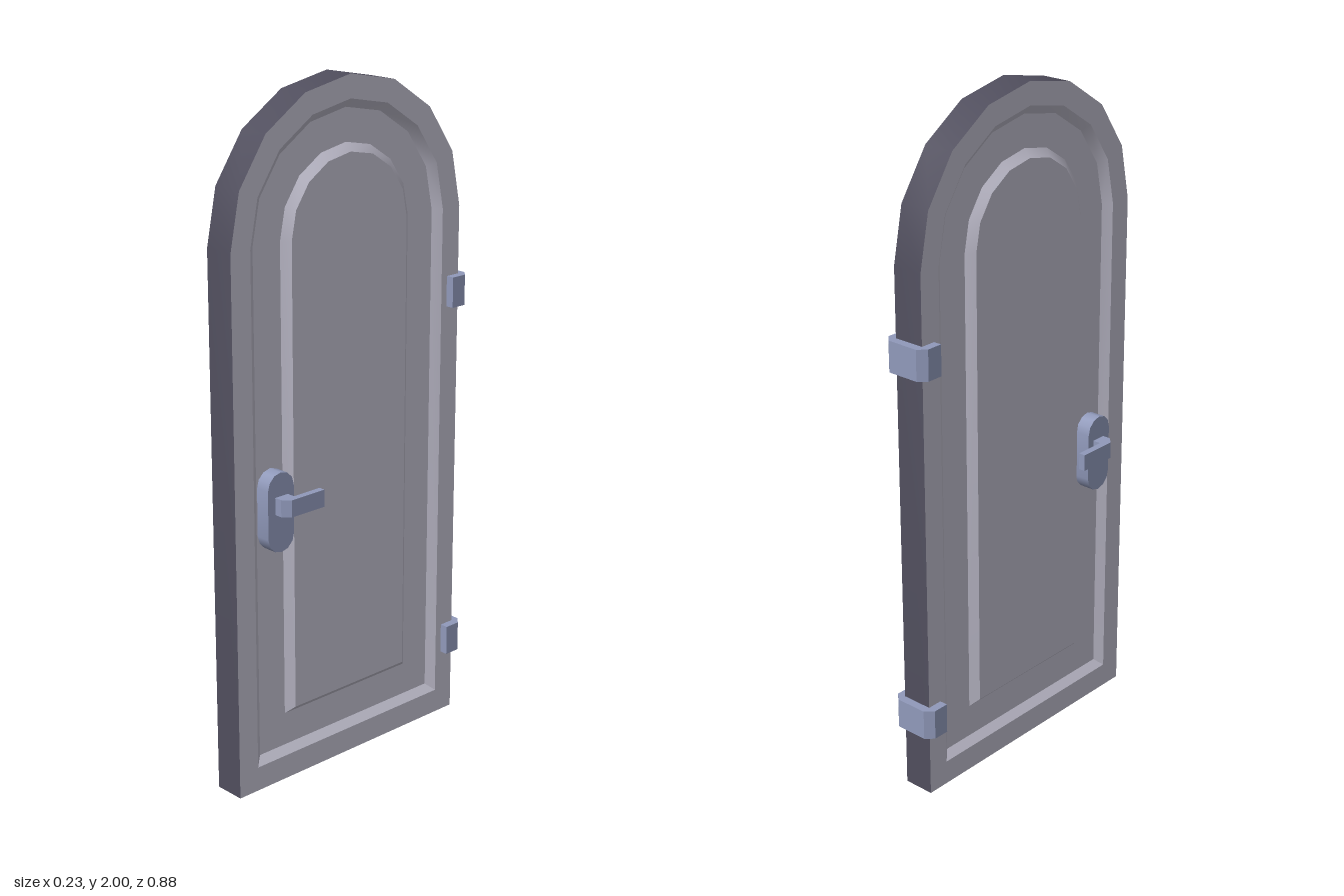
import * as THREE from 'three';
import { toCreasedNormals } from 'three/addons/utils/BufferGeometryUtils.js';

const HALF = 0.047;       // half thickness of the door leaf
const MID_Z = 0.0125;     // centre line of the leaf
const SPRING = 1.58;      // height where the arch starts

// Arched outline: two bottom corners, then the arch in eight segments
function archLoop(x, halfWidth, bottom) {
  const loop = [
    new THREE.Vector3(x, bottom, MID_Z + halfWidth),
    new THREE.Vector3(x, bottom, MID_Z - halfWidth),
  ];
  for (let i = 0; i <= 8; i++) {
    const a = (i / 8) * Math.PI;
    loop.push(new THREE.Vector3(x, SPRING + Math.sin(a) * halfWidth * 0.982, MID_Z - Math.cos(a) * halfWidth));
  }
  return loop;
}

// Skin a list of loops, optionally closing the last one; flip reverses the corners
function skin(loops, cap, flip) {
  const pos = [];
  const tri = (a, b, c) => (flip ? [a, c, b] : [a, b, c]).forEach((p) => pos.push(p.x, p.y, p.z));
  for (let k = 0; k < loops.length - 1; k++) {
    const a = loops[k], b = loops[k + 1], n = a.length;
    for (let i = 0; i < n; i++) {
      const j = (i + 1) % n;
      tri(a[i], a[j], b[j]);
      tri(a[i], b[j], b[i]);
    }
  }
  if (cap) {
    const l = loops[loops.length - 1];
    for (let i = 1; i < l.length - 1; i++) tri(l[0], l[i], l[i + 1]);
  }
  const g = new THREE.BufferGeometry();
  g.setAttribute('position', new THREE.Float32BufferAttribute(pos, 3));
  return toCreasedNormals(g, 0.6);
}

// Extrude a plan outline given as [x, z] pairs upward from y
function plan(points, y, height) {
  const shape = new THREE.Shape(points.map(([x, z]) => new THREE.Vector2(x, -z)));
  return new THREE.ExtrudeGeometry(shape, { depth: height, bevelEnabled: false })
    .rotateX(-Math.PI / 2).translate(0, y, 0);
}

export function createModel() {
  const door = new THREE.Group();
  door.name = 'door';
  const material = (name, color) => {
    const m = new THREE.MeshStandardMaterial({ color });
    m.name = name;
    return m;
  };
  const panelMat = material('pale lilac panel', 0xbbb9c8);
  const edgeMat = material('dark edge', 0x504e5d);
  const metalMat = material('blue grey metal', 0x9099ba);
  const add = (name, geometry, mat) => {
    const mesh = new THREE.Mesh(geometry, mat);
    mesh.name = name;
    door.add(mesh);
  };

  // Dark edge running round the leaf
  add('edge', skin([archLoop(-HALF, 0.4275, 0), archLoop(HALF, 0.4275, 0)], false, false), edgeMat);

  // Both faces: border, bevel down to a sunken band, bevel up to the middle panel
  for (const s of [1, -1]) {
    const low = HALF - 0.02;
    const rings = [
      [HALF, 0.4275, 0],
      [HALF, 0.36, 0.073],
      [low, 0.335, 0.096],
      [low, 0.239, 0.195],
      [HALF, 0.215, 0.215],
    ].map(([x, w, b]) => archLoop(s * x, w, b));
    add(s > 0 ? 'leftFace' : 'rightFace', skin(rings, true, s < 0), panelMat);

    // Lever handle, bent back over the face
    const lever = [
      [0.06, 0.272], [0.097, 0.272], [0.097, 0.177], [0.117, 0.177],
      [0.117, 0.297], [0.096, 0.318], [0.06, 0.318],
    ].map(([x, z]) => [s * x, z]);
    add(s > 0 ? 'leftLever' : 'rightLever', plan(lever, 0.835, 0.05), metalMat);
  }

  // Rounded handle plate, passing through the leaf to show on both faces
  const plate = [];
  for (let i = 0; i < 14; i++) {
    const top = i < 7;
    const a = ((top ? i : i - 1) / 6) * Math.PI;
    plate.push(new THREE.Vector2(-0.297 + Math.cos(a) * 0.047, (top ? 0.907 : 0.767) + Math.sin(a) * 0.047));
  }
  const plateGeo = new THREE.ExtrudeGeometry(new THREE.Shape(plate), { depth: 0.144, bevelEnabled: false })
    .translate(0, 0, -0.072).rotateY(Math.PI / 2);
  add('handlePlate', toCreasedNormals(plateGeo, 0.6), metalMat);

  // Two chamfered hinge brackets wrapped round the back edge
  const hinge = [
    [-0.072, -0.369], [0.072, -0.369], [0.072, -0.418],
    [0.049, -0.44], [-0.049, -0.44], [-0.072, -0.418],
  ];
  add('lowerHinge', plan(hinge, 0.196, 0.09), metalMat);
  add('upperHinge', plan(hinge, 1.29, 0.09), metalMat);

  return door;
}
